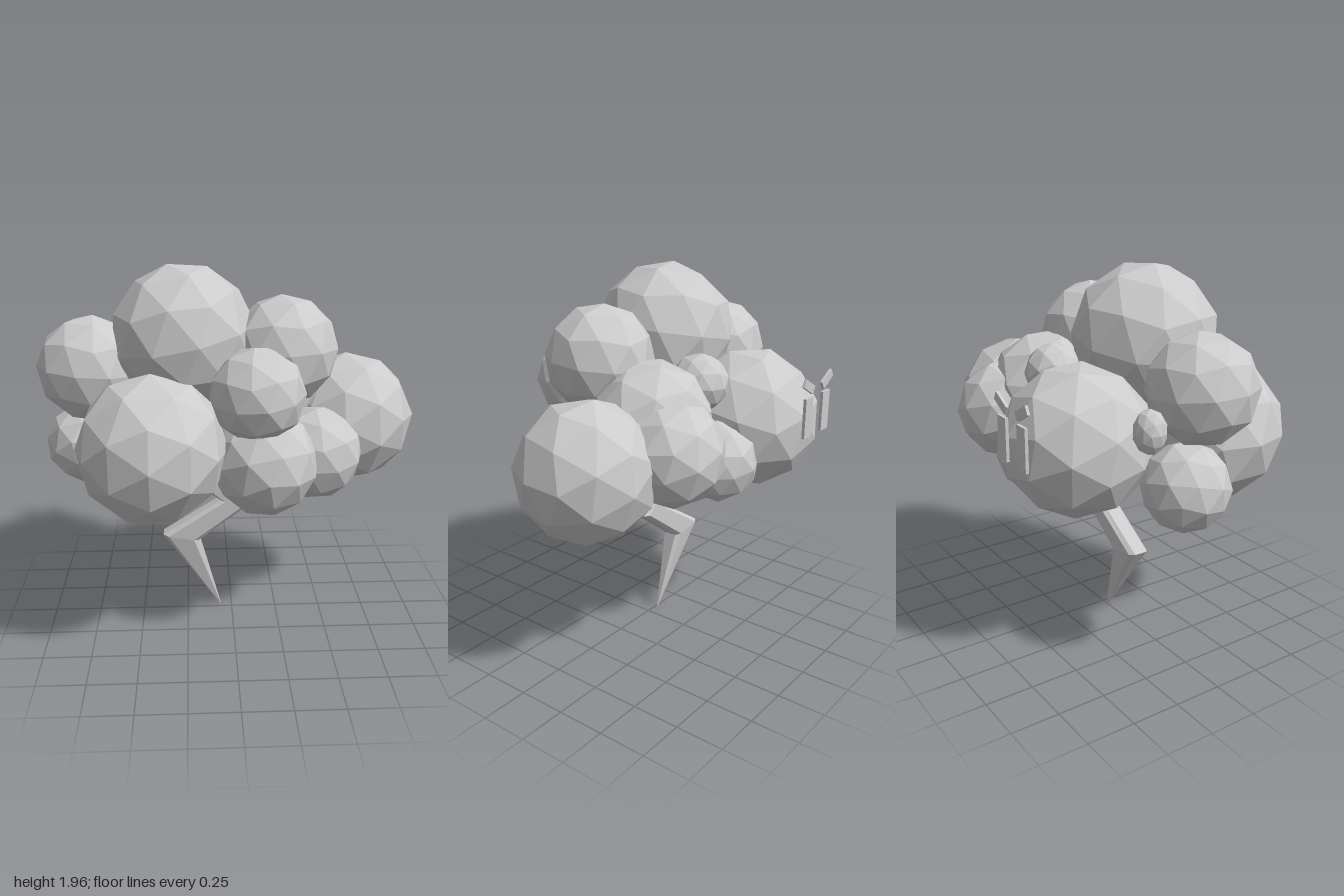
import * as THREE from 'three';

const grey = new THREE.MeshStandardMaterial({ color: 0xcccccc, flatShading: true });

function add(parent, name, geometry, x = 0, y = 0, z = 0) {
  const mesh = new THREE.Mesh(geometry, grey);
  mesh.name = name;
  mesh.position.set(x, y, z);
  parent.add(mesh);
  return mesh;
}

// Faceted puffs: [name, x, y, z, radius]
const puffs = [
  ['frontPuff', -0.41, 1.1, 0.4, 0.375],
  ['topPuff', -0.25, 1.59, 0.08, 0.37],
  ['rightUpperPuff', -0.73, 1.43, 0.06, 0.27],
  ['rightLowerPuff', -0.78, 0.99, -0.06, 0.215],
  ['facePuff', -0.37, 1.165, -0.39, 0.372],
  ['leftEndPuff', 0.65, 1.095, -0.14, 0.35],
  ['leftUpperPuff', 0.26, 1.525, 0.105, 0.278],
  ['frontSmallPuff', 0.11, 1.36, 0.37, 0.238],
  ['frontLowerPuff', 0.15, 1.0, 0.33, 0.272],
  ['leftLowerPuff', 0.43, 0.99, 0.16, 0.245],
  ['backLeftPuff', 0.33, 1.15, -0.4, 0.265],
  ['middlePuff', 0.24, 1.24, -0.2, 0.32],
  ['backSmallPuff', -0.02, 1.41, -0.31, 0.15],
  ['backLowerPuff', -0.03, 1.02, -0.42, 0.215],
];

// Bolt: chamfered cross-sections lofted between left and right edge points
function boltGeometry() {
  const stations = [ // [left x, left y, right x, right y, depth scale]
    [-0.21, 0.77, -0.1, 0.87, 1],
    [-0.06, 0.665, 0.105, 0.645, 1],
    [-0.38, 0.465, -0.18, 0.43, 1],
    [-0.06, 0.0, -0.058, 0.0, 0.02],
  ];
  const section = [ // [position across the width, z]
    [0, 0.036], [0.15, 0.057], [0.85, 0.057], [1, 0.036],
    [1, -0.036], [0.85, -0.057], [0.15, -0.057], [0, -0.036],
  ];
  const n = section.length, positions = [], index = [];
  for (const [x0, y0, x1, y1, s] of stations)
    for (const [t, z] of section)
      positions.push(x0 + (x1 - x0) * t, y0 + (y1 - y0) * t, z * s - 0.017);
  for (let i = 0; i < stations.length - 1; i++)
    for (let j = 0; j < n; j++) {
      const a = i * n + j, b = i * n + (j + 1) % n;
      index.push(a, a + n, b, b, a + n, b + n);
    }
  for (let j = 1; j < n - 1; j++) index.push(0, j, j + 1); // top cap
  const g = new THREE.BufferGeometry();
  g.setAttribute('position', new THREE.Float32BufferAttribute(positions, 3));
  g.setIndex(index);
  g.computeVertexNormals();
  return g;
}

export function createModel() {
  const model = new THREE.Group();
  model.name = 'stormCloud';

  const cloud = new THREE.Group();
  cloud.name = 'cloud';
  model.add(cloud);
  puffs.forEach(([name, x, y, z, r], i) => {
    const puff = add(cloud, name, new THREE.IcosahedronGeometry(r * 1.01, 1), x, y, z);
    puff.rotation.set(i * 1.3, i * 0.7, i * 2.1);
  });
  add(cloud, 'tinyPuff', new THREE.IcosahedronGeometry(0.08, 1), -0.76, 1.29, -0.26).scale.y = 1.35;

  add(model, 'lightningBolt', boltGeometry());

  // Face on the back: two upright eyes under slanted brows
  const face = new THREE.Group();
  face.name = 'face';
  face.position.set(-0.42, 0, -0.765);
  model.add(face);
  for (const side of [-1, 1]) {
    add(face, 'eye', new THREE.BoxGeometry(0.075, 0.21, 0.016), side * 0.09, 1.235, 0);
    const brow = add(face, 'brow', new THREE.BoxGeometry(0.11, 0.045, 0.014), side * 0.097, 1.4, 0);
    brow.rotation.z = side * 0.5;
  }
  return model;
}
